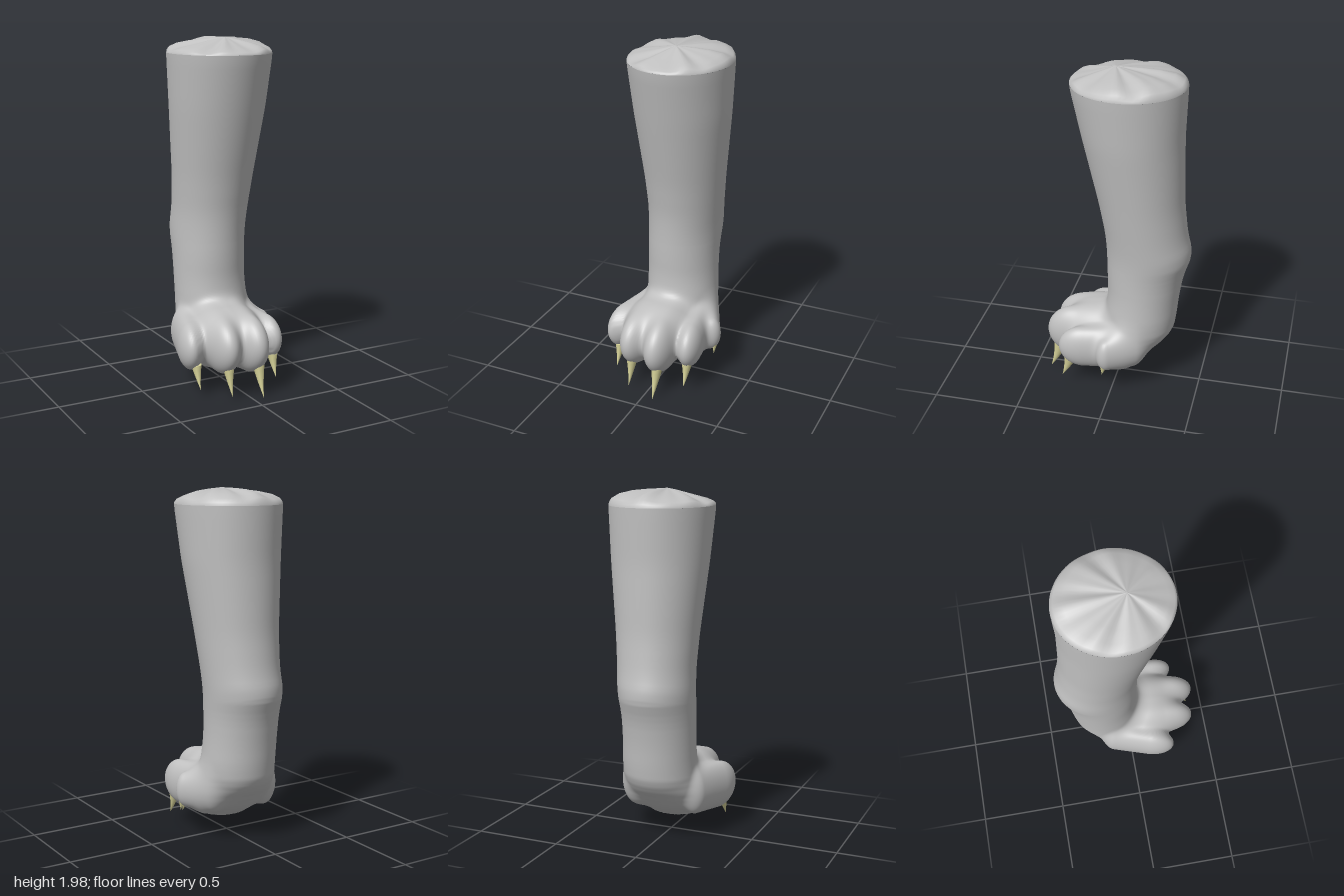
import * as THREE from 'three';

const fur = new THREE.MeshStandardMaterial({ color: 0xc0c0c0 });
fur.name = 'greyFur';
const horn = new THREE.MeshStandardMaterial({ color: 0xd8d49a });
horn.name = 'clawHorn';

// Leg outline by height: y, xMin, xMax, zMin, zMax
const LEG = [
  [1.90, -0.265, 0.320, -0.380, 0.260],
  [1.60, -0.245, 0.300, -0.370, 0.195],
  [1.20, -0.210, 0.255, -0.380, 0.105],
  [1.00, -0.200, 0.235, -0.402, 0.070],
  [0.88, -0.205, 0.225, -0.432, 0.062],
  [0.74, -0.202, 0.215, -0.385, 0.060],
  [0.60, -0.200, 0.215, -0.362, 0.055],
  [0.45, -0.200, 0.225, -0.348, 0.075],
  [0.35, -0.205, 0.220, -0.332, 0.090],
  [0.25, -0.200, 0.200, -0.235, 0.100],
  [0.13, -0.120, 0.120, -0.040, 0.100],
];
// Toes, then thumb: root x, y, z, radius, tip x, y, z, radius
const TOES = [
  [-0.185, 0.290, -0.10, 0.075, -0.245, 0.272, 0.105, 0.076],
  [-0.100, 0.300, 0.00, 0.088, -0.108, 0.285, 0.220, 0.088],
  [0.045, 0.300, 0.00, 0.092, 0.050, 0.283, 0.240, 0.092],
  [0.170, 0.290, -0.05, 0.075, 0.197, 0.280, 0.170, 0.073],
];
const THUMB = [0.170, 0.310, -0.12, 0.070, 0.264, 0.285, 0.020, 0.055];
// Rounded masses: centre, radii
const PALM = [-0.01, 0.275, 0.0, 0.235, 0.152, 0.21];
const INSTEP = [-0.02, 0.300, 0.10, 0.225, 0.182, 0.235];
// Claws: base x, y, z, tip y, forward lean, radius
const CLAWS = [
  [-0.250, 0.185, 0.188, 0.050, 0.057, 0.030],
  [-0.112, 0.190, 0.312, 0.025, 0.053, 0.033],
  [0.062, 0.195, 0.342, 0.004, 0.070, 0.036],
  [0.208, 0.195, 0.248, 0.060, 0.052, 0.030],
  [0.288, 0.250, 0.025, 0.160, 0.012, 0.024],
];

function legRow(y) {
  const last = LEG.length - 1;
  if (y >= LEG[0][0]) return LEG[0];
  if (y <= LEG[last][0]) return LEG[last];
  const i = LEG.findIndex((r) => r[0] <= y);
  const a = LEG[i - 1], b = LEG[i], t = (a[0] - y) / (a[0] - b[0]);
  return a.map((v, k) => v + (b[k] - v) * t);
}

// Smoothed leg section: centre and radii in x and z
function section(y) {
  const s = [-0.04, 0, 0.04].map((d) => legRow(y + d));
  const m = s[0].map((_, k) => (s[0][k] + s[1][k] + s[2][k]) / 3);
  return { cx: (m[1] + m[2]) / 2, cz: (m[3] + m[4]) / 2, rx: (m[2] - m[1]) / 2, rz: (m[4] - m[3]) / 2 };
}

// Rounded blending of distances
function blend(a, b, k) {
  const h = Math.max(k - Math.abs(a - b), 0) / k;
  return Math.min(a, b) - h * h * k * 0.25;
}
function ellipsoid([cx, cy, cz, rx, ry, rz], p) {
  return (Math.hypot((p.x - cx) / rx, (p.y - cy) / ry, (p.z - cz) / rz) - 1) * Math.min(rx, ry, rz);
}
// Tapered capsule, taller than wide, with a nose stretched forward
function toe([ax, ay, az, ar, bx, by, bz, br], p, nose) {
  const length = Math.hypot(bx - ax, bz - az), ux = (bx - ax) / length, uz = (bz - az) / length;
  const along = (p.x - ax) * ux + (p.z - az) * uz, side = (p.x - ax) * uz - (p.z - az) * ux;
  const t = THREE.MathUtils.clamp(along / length, 0, 1);
  const past = along > length ? (along - length) / nose : Math.min(along, 0);
  return Math.hypot(side, (p.y - ay - (by - ay) * t) * 0.55, past) - ar - (br - ar) * t;
}
function distance(p) {
  const s = section(p.y);
  const round = (Math.hypot((p.x - s.cx) / s.rx, (p.z - s.cz) / s.rz) - 1) * Math.min(s.rx, s.rz);
  const leg = Math.max(round, 0.13 - p.y);
  if (p.y > 0.75) return leg;
  const toes = TOES.map((t) => toe(t, p, 2)).reduce((a, b) => blend(a, b, 0.02));
  const palm = blend(ellipsoid(PALM, p), ellipsoid(INSTEP, p), 0.03);
  const body = blend(blend(leg, palm, 0.07), toe(THUMB, p, 1), 0.06);
  return blend(body, toes, 0.03);
}

// Outermost surface point along a ray
function cast(origin, dir) {
  const p = new THREE.Vector3();
  const at = (r) => distance(p.copy(origin).addScaledVector(dir, r));
  let r = 0.62;
  while (r > 0.02 && at(r) > 0) r -= 0.015;
  let lo = r, hi = r + 0.015;
  for (let i = 0; i < 10; i++) {
    const mid = (lo + hi) / 2;
    if (at(mid) > 0) hi = mid; else lo = mid;
  }
  at(lo);
  return p;
}

// Closed loops of points skinned from top to bottom
function skin(rows, sides, point) {
  const pos = [], index = [];
  for (let i = 0; i < rows; i++) {
    for (let j = 0; j < sides; j++) {
      pos.push(...point(i, (j / sides) * Math.PI * 2).toArray());
      if (i === rows - 1) continue;
      const a = i * sides + j, b = i * sides + ((j + 1) % sides);
      index.push(a, b, b + sides, a, b + sides, a + sides);
    }
  }
  const g = new THREE.BufferGeometry();
  g.setAttribute('position', new THREE.Float32BufferAttribute(pos, 3));
  g.setIndex(index);
  g.computeVertexNormals();
  return g;
}

function legAndPaw() {
  // Rays tilt upward while descending the leg, then fan down around the paw
  const rays = [], steep = Math.PI / 4;
  const tiltAt = (y) => steep * Math.min(1, (1.9 - y) / 1.4);
  for (let i = 0; i < 28; i++) rays.push([1.9 - (i / 28) * 1.25, tiltAt(1.9 - (i / 28) * 1.25)]);
  for (let i = 0; i < 24; i++) rays.push([0.65 - (i / 24) * 0.35, tiltAt(0.65 - (i / 24) * 0.35)]);
  for (let i = 0; i <= 70; i++) rays.push([0.3, steep - (i / 70) * (steep + Math.PI / 2)]);
  return skin(rays.length, 200, (i, a) => {
    const [y, tilt] = rays[i];
    const s = section(y), w = THREE.MathUtils.smoothstep(y, 0.3, 0.65);
    const origin = new THREE.Vector3(s.cx * w, y, s.cz * w);
    const dir = new THREE.Vector3(Math.cos(a) * Math.cos(tilt), Math.sin(tilt), Math.sin(a) * Math.cos(tilt));
    return cast(origin, dir);
  });
}

// Crumpled cap: rounded rim and radiating folds that meet forward of the middle
function cap() {
  const s = section(1.9);
  const rings = [[0, 1.988, 0], [0.15, 1.982, 0.2], [0.35, 1.972, 0.6], [0.6, 1.958, 1], [0.82, 1.943, 1], [0.95, 1.926, 0.7], [0.99, 1.912, 0.3], [1, 1.9, 0]];
  return skin(rings.length, 72, (i, a) => {
    const [r, y, f] = rings[i];
    const fold = 0.007 * Math.sin(a * 7 + 0.6) + 0.004 * Math.sin(a * 12 + 2) - 0.014 * Math.sin(a) + 0.008 * Math.cos(a);
    const forward = 0.07 * (1 - r);
    return new THREE.Vector3(s.cx + Math.cos(a) * s.rx * r, y + f * fold, s.cz + forward + Math.sin(a) * s.rz * r);
  });
}

// Cone pointing down and sweeping forward
function claw([x, y, z, tip, lean, r]) {
  const g = new THREE.ConeGeometry(1, 1, 10, 5);
  g.rotateX(Math.PI);
  const p = g.attributes.position;
  for (let i = 0; i < p.count; i++) {
    const t = 0.5 - p.getY(i);
    p.setXYZ(i, x + p.getX(i) * r, y + (tip - y) * t, z + p.getZ(i) * r * 1.3 + lean * t * (0.6 + 0.4 * t));
  }
  g.computeVertexNormals();
  return g;
}

export function createModel() {
  const model = new THREE.Group();
  model.name = 'clawedLeg';
  const add = (name, geometry, material) => {
    const mesh = new THREE.Mesh(geometry, material);
    mesh.name = name;
    model.add(mesh);
  };
  add('legAndPaw', legAndPaw(), fur);
  add('crumpledTop', cap(), fur);
  const names = ['outerClaw', 'ringClaw', 'middleClaw', 'innerClaw', 'thumbClaw'];
  CLAWS.forEach((c, i) => add(names[i], claw(c), horn));
  return model;
}
